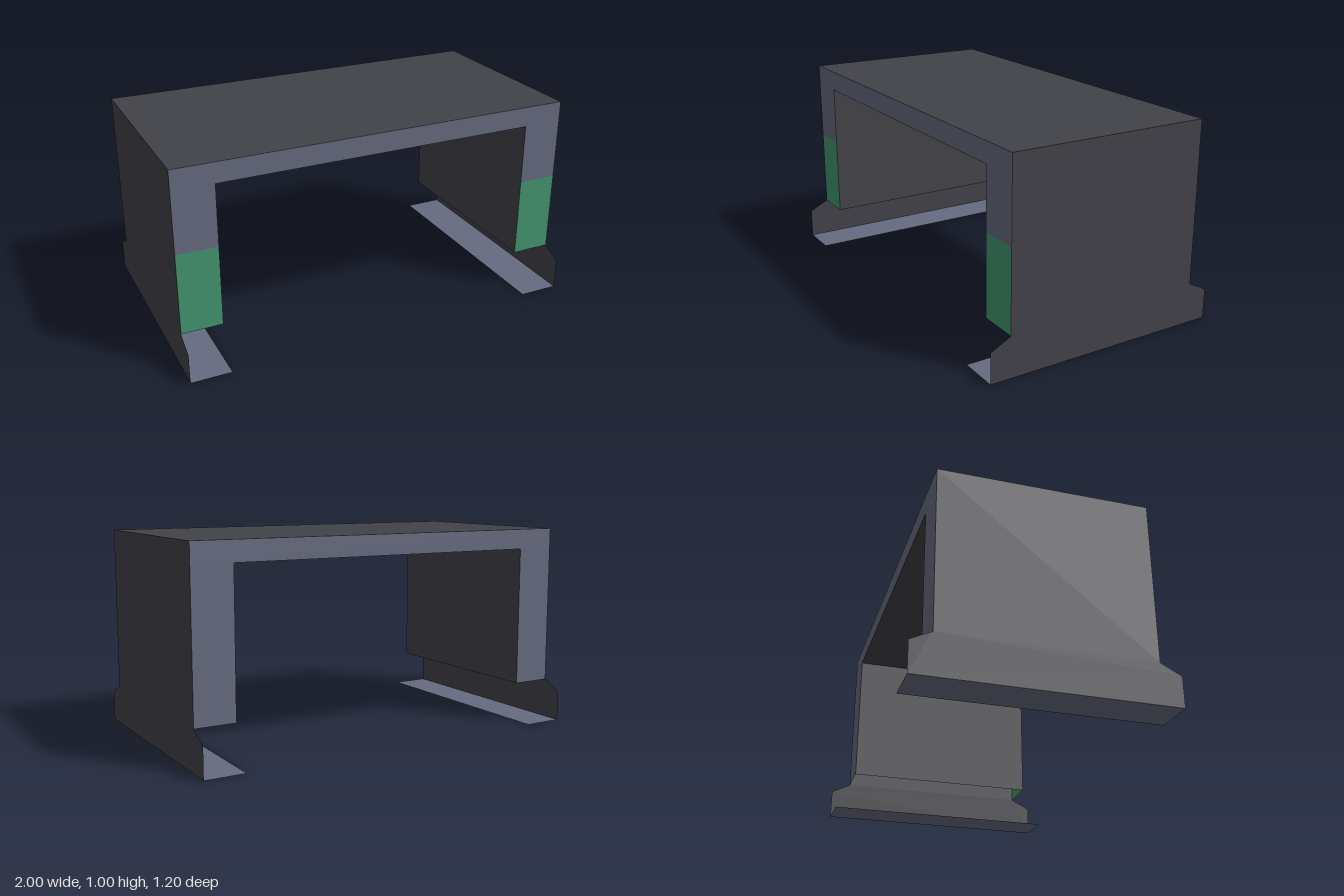
import * as THREE from 'three';

const material = (name, color) => {
  const m = new THREE.MeshStandardMaterial({ color, side: THREE.DoubleSide });
  m.name = name;
  return m;
};

export function createModel() {
  const dark = material('dark shell', 0x424249);
  const grey = material('blue grey trim', 0x666b80);
  const green = material('green panel', 0x43966f);
  const group = new THREE.Group();

  const add = (name, geometry, mat, x, y, z) => {
    const mesh = new THREE.Mesh(geometry, mat);
    mesh.name = name;
    mesh.position.set(x, y, z);
    group.add(mesh);
  };
  const upright = (w, h, back) => new THREE.PlaneGeometry(w, h).rotateY(back ? Math.PI : 0);
  const level = (w, d, down) => new THREE.PlaneGeometry(w, d).rotateX(down ? Math.PI / 2 : -Math.PI / 2);

  // Roof and ceiling sheets
  add('roof', level(2, 1), dark, 0, 1, 0);
  add('ceiling', level(1.6, 1, true), dark, 0, 0.9, 0);

  // Outer wall outline, flaring into a skirt at the foot
  const outline = new THREE.Shape([
    [-0.6, 0], [0.6, 0], [0.6, 0.15], [0.5, 0.2],
    [0.5, 1], [-0.5, 1], [-0.5, 0.2], [-0.6, 0.15],
  ].map(([z, y]) => new THREE.Vector2(z, y)));

  for (const side of [-1, 1]) {
    const label = side > 0 ? 'left' : 'right';
    const turn = side * Math.PI / 2;
    add(label + 'OuterWall', new THREE.ShapeGeometry(outline).rotateY(turn), dark, side, 0, 0);
    add(label + 'InnerWall', new THREE.PlaneGeometry(1, 0.7).rotateY(-turn), dark, side * 0.8, 0.55, 0);
    add(label + 'BaseStrip', level(0.2, 1.2), grey, side * 0.9, 0, 0);

    // Leg ends: green lower panel on the front only
    add(label + 'FrontLeg', upright(0.2, 0.3), grey, side * 0.9, 0.75, 0.5);
    add(label + 'FrontPanel', upright(0.2, 0.4), green, side * 0.9, 0.4, 0.5);
    add(label + 'BackLeg', upright(0.2, 0.7, true), grey, side * 0.9, 0.55, -0.5);
  }

  // Lintels across the openings
  add('frontLintel', upright(2, 0.1), grey, 0, 0.95, 0.5);
  add('backLintel', upright(2, 0.1, true), grey, 0, 0.95, -0.5);
  return group;
}
